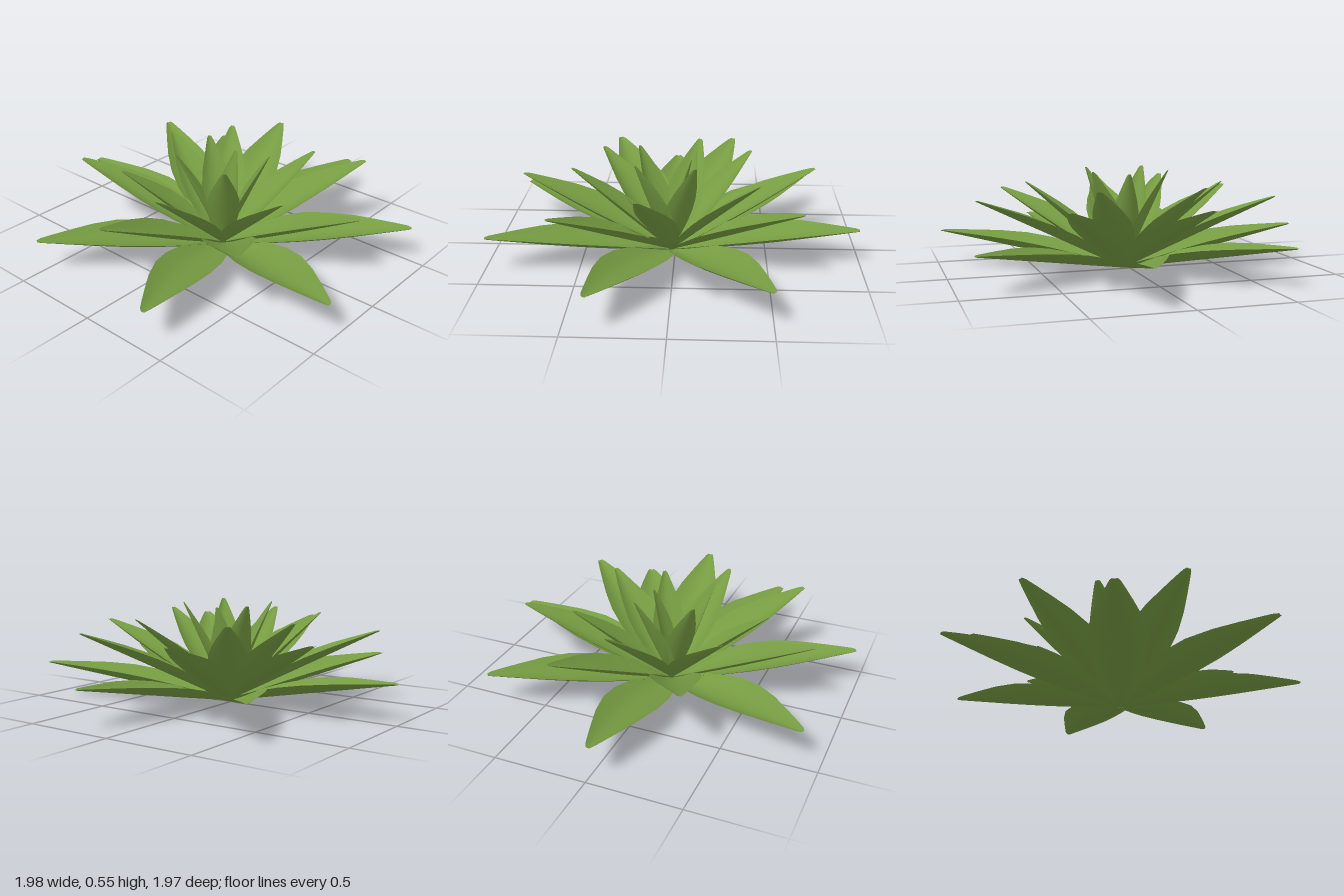
import * as THREE from 'three';

const CENTRE = [0.03, 0, 0.02];

// half width of a leaf along its length, as fractions of the length
const PROFILE = [[0, 0.025], [0.14, 0.08], [0.28, 0.125], [0.42, 0.147], [0.56, 0.144],
  [0.7, 0.115], [0.82, 0.078], [0.92, 0.045], [0.98, 0.024], [1, 0.012]];
const ACROSS = 6;
const CUP = 0.4;

// rings from the ground up: horizontal reach, tip height, leaf directions in degrees
const RINGS = [
  { name: 'outerLeaf', reach: 1.02, height: 0.2, angles: [20.5, 70, 120, 180, 230, 279.5, 330] },
  { name: 'middleLeaf', reach: 0.825, height: 0.41, angles: [45, 95, 155, 205, 255, 305, 354.5] },
  { name: 'upperLeaf', reach: 0.54, height: 0.48, angles: [16.5, 87, 131, 196, 235, 300] },
  { name: 'innerLeaf', reach: 0.25, height: 0.55, angles: [48, 132, 211, 328] },
  { name: 'heartLeaf', reach: 0.11, height: 0.53, angles: [270] },
];

// thin cupped blade lying along +x, its edges raised above the midrib
function leafGeometry(length) {
  const positions = [];
  const indices = [];
  const row = ACROSS + 1;
  PROFILE.forEach(([t, w], i) => {
    for (let j = 0; j <= ACROSS; j++) {
      const u = (j / ACROSS) * 2 - 1;
      positions.push(t * length, CUP * w * length * u * u, u * w * length);
      if (i > 0 && j > 0) {
        const d = i * row + j, c = d - 1, b = d - row, a = b - 1;
        indices.push(a, b, d, a, d, c);
      }
    }
  });
  const geometry = new THREE.BufferGeometry();
  geometry.setAttribute('position', new THREE.Float32BufferAttribute(positions, 3));
  geometry.setIndex(indices);
  geometry.computeVertexNormals();
  return geometry;
}

export function createModel() {
  const model = new THREE.Group();
  model.name = 'succulentRosette';
  const green = new THREE.MeshStandardMaterial({ color: 0x769c42, side: THREE.DoubleSide });

  for (const { name, reach, height, angles } of RINGS) {
    const geometry = leafGeometry(Math.hypot(reach, height));
    for (const angle of angles) {
      const leaf = new THREE.Mesh(geometry, green);
      leaf.name = name;
      leaf.position.set(...CENTRE);
      // turn about y, after tilting the blade up
      leaf.rotation.order = 'YZX';
      leaf.rotation.set(0, -THREE.MathUtils.degToRad(angle), Math.atan2(height, reach));
      model.add(leaf);
    }
  }
  return model;
}
